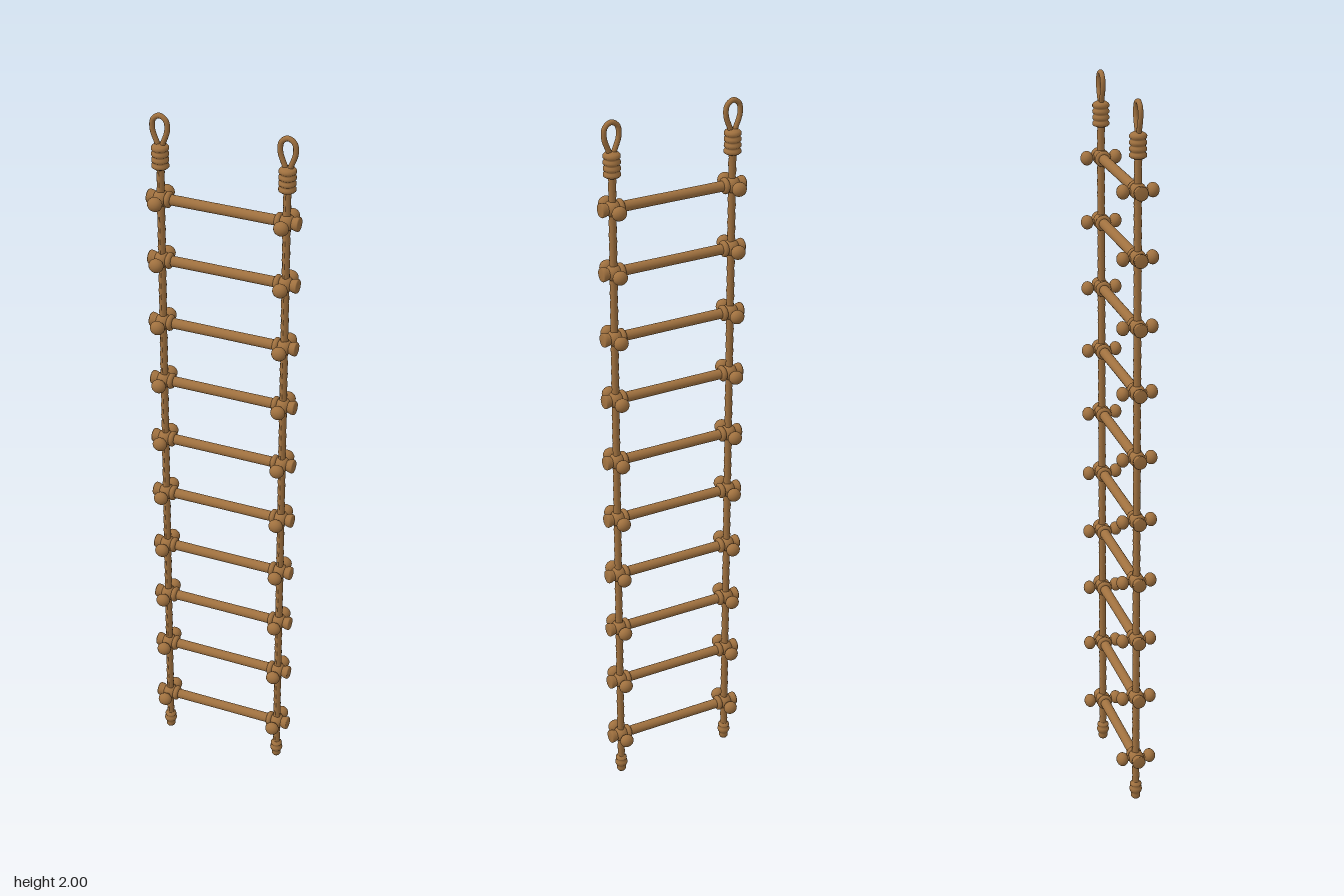
import * as THREE from 'three';

export function createModel() {
  const model = new THREE.Group();
  const brown = new THREE.MeshStandardMaterial({ color: 0xa0713f });
  brown.name = 'brown rope and wood';

  const add = (parent, name, geometry, x = 0, y = 0, z = 0) => {
    const mesh = new THREE.Mesh(geometry, brown);
    mesh.name = name;
    mesh.position.set(x, y, z);
    parent.add(mesh);
    return mesh;
  };
  const lathe = (points, sides = 20) =>
    new THREE.LatheGeometry(points.map(([r, y]) => new THREE.Vector2(r, y)), sides);

  const ropeX = 0.17;
  const rungHeights = [0.13, 0.323, 0.503, 0.681, 0.861, 1.041, 1.227, 1.407, 1.592, 1.767];

  // Twisted three-strand rope
  const ropeLength = 1.87;
  const ropeGeo = new THREE.CylinderGeometry(0.01, 0.01, ropeLength, 12, 320);
  const pos = ropeGeo.attributes.position;
  for (let i = 0; i < pos.count; i++) {
    const x = pos.getX(i), y = pos.getY(i), z = pos.getZ(i);
    const s = 1 + 0.09 * Math.cos(3 * (Math.atan2(z, x) - y * 65));
    pos.setXYZ(i, x * s, y, z * s);
  }
  ropeGeo.computeVertexNormals();

  // Turned rung with slightly flared ends
  const rungGeo = lathe([
    [0, -0.205], [0.017, -0.205], [0.019, -0.202], [0.018, -0.194], [0.014, -0.183],
    [0.0135, 0], [0.014, 0.183], [0.018, 0.194], [0.019, 0.202], [0.017, 0.205], [0, 0.205],
  ]);
  rungGeo.rotateZ(Math.PI / 2);

  // Lashing parts
  const knotGeo = new THREE.SphereGeometry(0.022, 18, 12);
  const ballGeo = new THREE.SphereGeometry(1, 18, 12);
  ballGeo.scale(0.02, 0.019, 0.0165);
  const linkGeo = new THREE.CylinderGeometry(0.008, 0.008, 0.08, 10);
  linkGeo.rotateX(Math.PI / 2);
  const wrapGeo = new THREE.TorusGeometry(0.014, 0.008, 10, 20);
  wrapGeo.rotateY(Math.PI / 2);

  // Top eye loop
  const loopCurve = new THREE.CatmullRomCurve3([
    [0, 1.9], [0.009, 1.922], [0.02, 1.955], [0.017, 1.982], [0, 1.993],
    [-0.017, 1.982], [-0.02, 1.955], [-0.009, 1.922],
  ].map(([x, y]) => new THREE.Vector3(x, y, 0)), true);
  const loopGeo = new THREE.TubeGeometry(loopCurve, 48, 0.007, 10, true);

  // Whipping below the loop, four stacked coils
  const whippingPoints = [[0, 1.85], [0.014, 1.85]];
  for (let i = 0; i < 4; i++) {
    const y = 1.85 + i * 0.016;
    whippingPoints.push([0.019, y + 0.002], [0.0225, y + 0.005], [0.0225, y + 0.011], [0.019, y + 0.015]);
  }
  whippingPoints.push([0.012, 1.917], [0, 1.918]);
  const whippingGeo = lathe(whippingPoints);

  // Stopper knot at the bottom
  const stopperGeo = lathe([
    [0, 0], [0.01, 0], [0.013, 0.005], [0.013, 0.013], [0.012, 0.017], [0.016, 0.022],
    [0.018, 0.028], [0.017, 0.034], [0.013, 0.038], [0.016, 0.042], [0.016, 0.047], [0.009, 0.053],
  ]);

  for (const side of [-1, 1]) {
    const rope = new THREE.Group();
    rope.name = side > 0 ? 'leftRope' : 'rightRope';
    rope.position.x = side * ropeX;
    add(rope, 'strand', ropeGeo, 0, 0.01 + ropeLength / 2);
    add(rope, 'eyeLoop', loopGeo);
    add(rope, 'whipping', whippingGeo);
    add(rope, 'stopperKnot', stopperGeo);
    model.add(rope);
  }

  rungHeights.forEach((y, i) => {
    const step = new THREE.Group();
    step.name = `step${i + 1}`;
    step.position.y = y;
    add(step, 'rung', rungGeo);
    for (const side of [-1, 1]) {
      const x = side * ropeX;
      add(step, 'lashingKnot', knotGeo, x);
      add(step, 'lashingWrap', wrapGeo, x - side * 0.021);
      add(step, 'lashingLink', linkGeo, x);
      for (const z of [-0.039, 0.039]) add(step, 'lashingBall', ballGeo, x, 0, z);
    }
    model.add(step);
  });

  return model;
}
